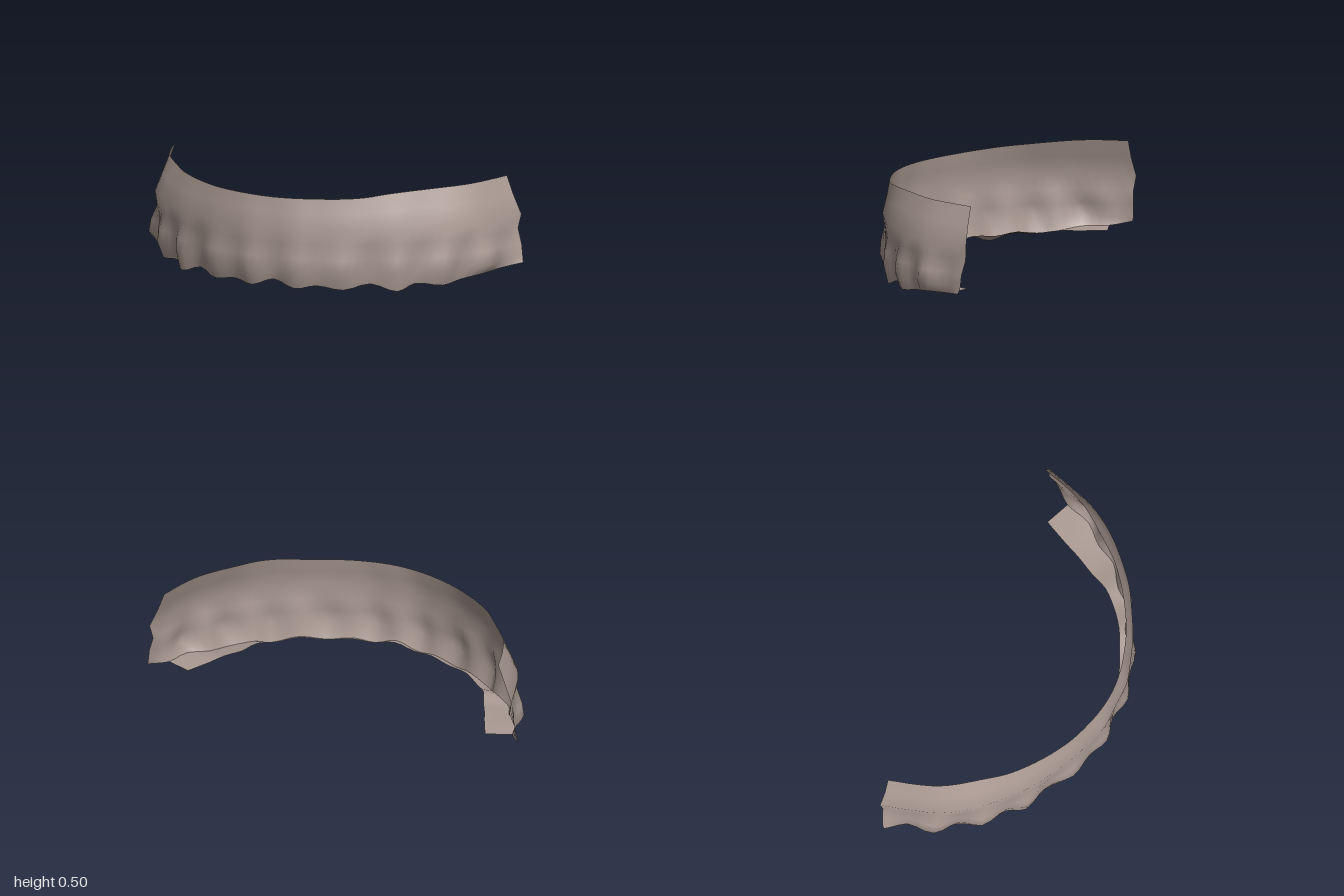
import * as THREE from 'three';

// Stations run from the middle of the arch to its rear end:
// even = gap between teeth, odd = middle of a tooth, last = rear end.
const TOP = [[0, .385], [.11, .375], [.21, .35], [.32, .31], [.43, .25], [.53, .18],
  [.62, .1], [.7, 0], [.77, -.09], [.82, -.17], [.86, -.27], [.9, -.41]];
const GUM = [[0, .4], [.12, .4], [.225, .37], [.35, .325], [.465, .265], [.575, .2],
  [.665, .125], [.76, .03], [.83, -.06], [.88, -.15], [.92, -.27], [.96, -.41]];
const BULGE = [[0, .39], [.12, .416], [.225, .37], [.36, .345], [.465, .25], [.6, .21],
  [.655, .125], [.785, .05], [.82, -.06], [.925, -.15], [.935, -.29], [.993, -.395]];
const INNER = [[0, .355], [.11, .345], [.21, .32], [.33, .27], [.45, .21], [.54, .14],
  [.61, .06], [.65, -.03], [.7, -.13], [.74, -.22], [.8, -.345]];
const TOP_LEFT = [.465, .465, .466, .467, .472, .487, .495, .497, .498, .499, .5, .5];
const TOP_RIGHT = [.465, .466, .467, .468, .472, .477, .482, .488, .493, .497, .5, .5];
const EDGE_Y = [.05, .012, .03, .012, .04, .003, .035, .02, .035, .053, .06, .075];
const INNER_Y = [.05, .03, .04, .035, .05, .04, .055, .05, .06, .06, .062];
const EDGE_INSET = [.4, .5, .4, .4, .3, .25, .2, .2, .12, .2, .08, 0];

const mix = (a, b, t) => [a[0] + (b[0] - a[0]) * t, a[1] + (b[1] - a[1]) * t];
const edge = (i) => (i < 11 ? mix(BULGE[i], INNER[i], EDGE_INSET[i]) : [1, -.385]);

// Smooth row of points across the whole arch, from the right end to the left end
function row(last, flat, height, steps = 3) {
  const pts = [];
  for (let i = -last; i <= last; i++) {
    const k = Math.abs(i), s = Math.sign(i);
    const [x, z] = flat(k);
    pts.push(new THREE.Vector3(s * x, height(k, s), z));
  }
  return new THREE.CatmullRomCurve3(pts, false, 'centripetal').getPoints(last * 2 * steps);
}

// Sheet stretched over rows ordered from top to bottom
function sheet(rows) {
  const n = rows[0].length;
  const index = [];
  for (let j = 0; j < rows.length - 1; j++) {
    for (let i = 0; i < n - 1; i++) {
      const a = j * n + i, b = a + 1, c = a + n, d = c + 1;
      index.push(a, c, b, b, c, d);
    }
  }
  const geo = new THREE.BufferGeometry().setFromPoints(rows.flat());
  geo.setIndex(index);
  geo.computeVertexNormals();
  return geo;
}

export function createModel() {
  const group = new THREE.Group();
  group.name = 'upperTeeth';
  const enamel = new THREE.MeshStandardMaterial({ color: 0xad9c95, side: THREE.DoubleSide });
  enamel.name = 'dull pinkish grey';

  const topY = (k, s) => (s < 0 ? TOP_RIGHT : TOP_LEFT)[k];
  const edgeRow = row(11, edge, (k) => EDGE_Y[k]);

  // Outer wall: gum band flowing down into the bulging teeth
  const wall = [
    row(11, (k) => TOP[k], topY),
    row(11, (k) => mix(TOP[k], GUM[k], .55), (k, s) => topY(k, s) * .5 + .16),
    row(11, (k) => [GUM[k][0] * 1.015, GUM[k][1] * 1.02], () => .31),
    row(11, (k) => GUM[k], () => .24),
    row(11, (k) => mix(GUM[k], BULGE[k], .75), () => .165),
    row(11, (k) => BULGE[k], () => .1),
    edgeRow,
  ];
  const outer = new THREE.Mesh(sheet(wall), enamel);
  outer.name = 'gumAndToothFronts';
  group.add(outer);

  // Biting surfaces: strip turning inward from the lower edge
  const biting = [
    row(10, edge, (k) => EDGE_Y[k]),
    row(10, (k) => INNER[k], (k) => INNER_Y[k]),
  ];
  const under = new THREE.Mesh(sheet(biting), enamel);
  under.name = 'bitingSurfaces';
  group.add(under);

  return group;
}
